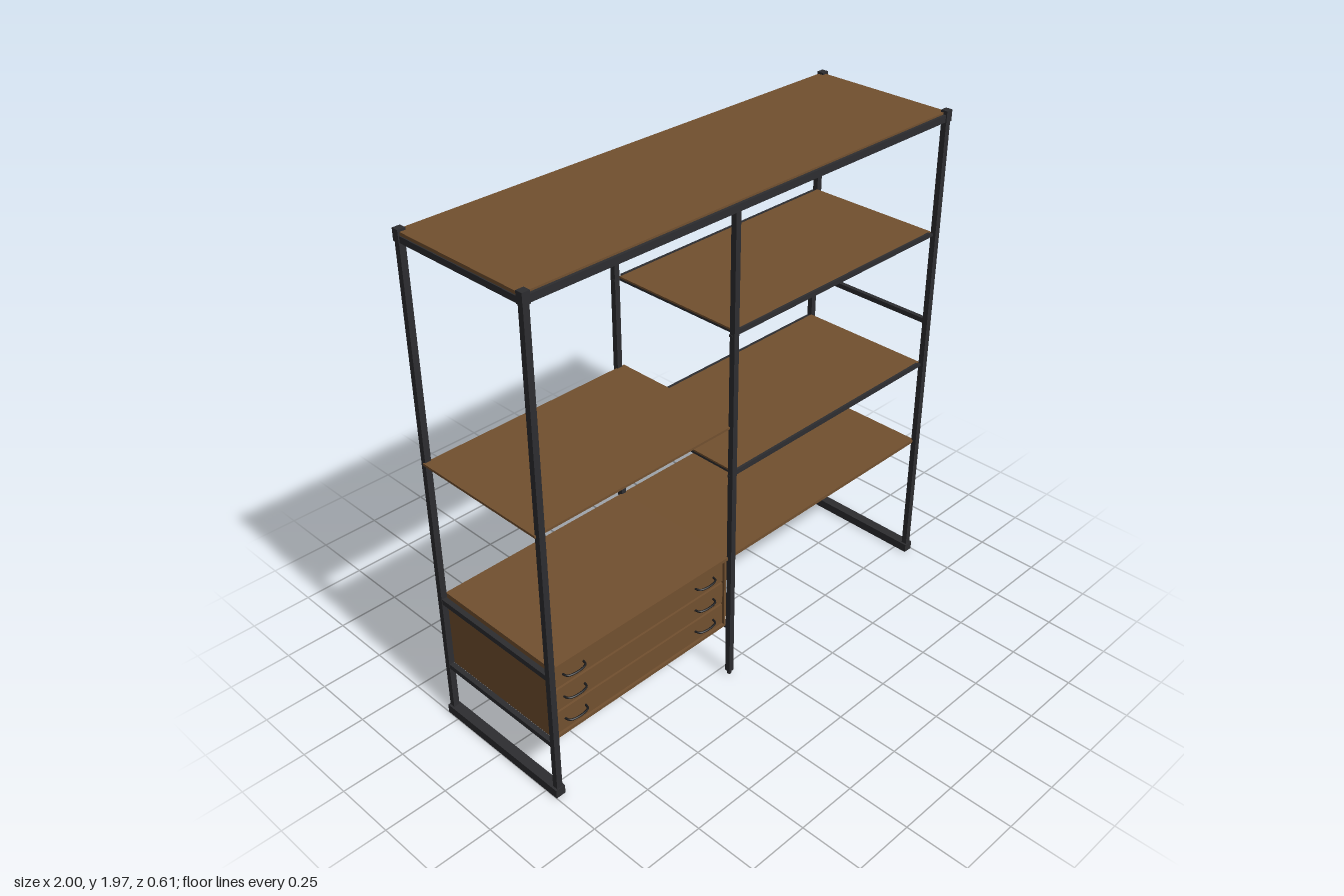
import * as THREE from 'three';

export function createModel() {
  const model = new THREE.Group();
  model.name = 'shelvingUnit';
  const wood = new THREE.MeshStandardMaterial({ color: 0x72502f });
  wood.name = 'walnut wood';
  const metal = new THREE.MeshStandardMaterial({ color: 0x2d2d30 });
  metal.name = 'dark metal';
  const black = new THREE.MeshStandardMaterial({ color: 0x1b1b1c });
  black.name = 'black handle';

  // Box given by its limits along each axis
  function slab(name, mat, x0, x1, y0, y1, z0, z1, parent = model) {
    const mesh = new THREE.Mesh(new THREE.BoxGeometry(x1 - x0, y1 - y0, z1 - z0), mat);
    mesh.position.set((x0 + x1) / 2, (y0 + y1) / 2, (z0 + z1) / 2);
    mesh.name = name;
    parent.add(mesh);
    return mesh;
  }

  const MID = -0.115;  // x of the middle posts
  const END = 0.98;    // x of the end posts
  const POST = 0.29;   // z of all posts

  // End frames: posts, floor bar and top rail
  for (const s of [-1, 1]) {
    const x = s * END;
    for (const z of [-POST, POST]) {
      slab('endPost', metal, x - 0.012, x + 0.012, 0.02, 1.96, z - 0.011, z + 0.011);
      slab('postCap', metal, x - 0.015, x + 0.015, 1.925, 1.968, z - 0.014, z + 0.014);
    }
    slab('floorBar', metal, x - 0.02, x + 0.02, 0, 0.036, -0.305, 0.305);
    slab('topEndRail', metal, x - 0.011, x + 0.011, 1.924, 1.947, -POST, POST);
  }
  slab('sideRail', metal, END - 0.009, END + 0.009, 1.1, 1.12, -POST, POST);

  // Middle posts with round gliders
  for (const z of [-POST, POST]) {
    slab('middlePost', metal, MID - 0.011, MID + 0.011, 0.015, 1.93, z - 0.011, z + 0.011);
    const glider = new THREE.Mesh(new THREE.CylinderGeometry(0.01, 0.008, 0.016, 12), metal);
    glider.position.set(MID, 0.008, z);
    glider.name = 'glider';
    model.add(glider);
    // Long top rails
    slab('topLongRail', metal, -END, END, 1.926, 1.953, z - 0.01, z + 0.01);
  }
  slab('topCrossRail', metal, MID - 0.011, MID + 0.011, 1.926, 1.947, -POST, POST);
  slab('topPanel', wood, -0.988, 0.984, 1.948, 1.96, -0.298, 0.289);

  // Two right-hand shelves on a slatted metal frame
  for (const y of [1.475, 0.912]) {
    const shelf = new THREE.Group();
    shelf.name = 'slattedShelf';
    model.add(shelf);
    slab('shelfBoard', wood, MID + 0.012, 0.967, y + 0.009, y + 0.016, -0.279, 0.279, shelf);
    for (const z of [-0.284, 0.284]) {
      slab('shelfRail', metal, -0.128, 0.988, y, y + 0.01, z - 0.006, z + 0.006, shelf);
      slab('shelfLip', metal, -0.09, 0.95, y + 0.01, y + 0.018, z - 0.005, z + 0.005, shelf);
    }
    for (let i = 0; i < 9; i++) {
      const x = MID + 0.02 + i * 0.133;
      slab('shelfSlat', metal, x - 0.008, x + 0.008, y, y + 0.009, -0.28, 0.28, shelf);
    }
  }

  // Plain boards
  slab('leftShelf', wood, -0.997, -0.09, 1.114, 1.123, -0.285, 0.285);
  slab('lowerShelf', wood, MID, 0.975, 0.547, 0.56, -0.285, 0.285);

  // Drawer cabinet
  const cabinet = new THREE.Group();
  cabinet.name = 'drawerCabinet';
  model.add(cabinet);
  const L = -0.967, R = -0.128;
  slab('cabinetTop', wood, L, MID, 0.547, 0.56, -0.285, 0.285, cabinet);
  slab('cabinetBottom', wood, L, R, 0.238, 0.25, -0.28, 0.28, cabinet);
  slab('cabinetBack', wood, L, R, 0.238, 0.55, -0.283, -0.271, cabinet);
  slab('cabinetSide', wood, L, L + 0.01, 0.238, 0.55, -0.28, 0.28, cabinet);
  slab('cabinetSide', wood, R - 0.01, R, 0.238, 0.55, -0.28, 0.28, cabinet);

  // Rails carrying the cabinet
  for (const x of [-END, MID]) {
    slab('cabinetRail', metal, x - 0.01, x + 0.01, 0.522, 0.544, -POST, POST, cabinet);
    slab('cabinetRail', metal, x - 0.01, x + 0.01, 0.222, 0.242, -POST, POST, cabinet);
  }
  slab('underRail', metal, -END, MID, 0.222, 0.236, -0.055, 0.0, cabinet);

  // Drawers, each with two bowed handles
  for (const y of [0.5, 0.4, 0.3]) {
    slab('drawerFront', wood, L + 0.014, R - 0.014, y - 0.045, y + 0.045, 0.25, 0.274, cabinet);
    slab('drawerDivider', wood, L, R, y - 0.052, y - 0.047, 0.22, 0.262, cabinet);
    for (const x of [-0.868, -0.238]) {
      const bow = new THREE.CatmullRomCurve3([
        new THREE.Vector3(-0.047, 0, 0.27),
        new THREE.Vector3(-0.04, 0, 0.292),
        new THREE.Vector3(0, 0, 0.301),
        new THREE.Vector3(0.04, 0, 0.292),
        new THREE.Vector3(0.047, 0, 0.27),
      ]);
      const handle = new THREE.Mesh(new THREE.TubeGeometry(bow, 20, 0.004, 8), black);
      handle.position.set(x, y, 0);
      handle.name = 'drawerHandle';
      cabinet.add(handle);
    }
  }

  return model;
}
